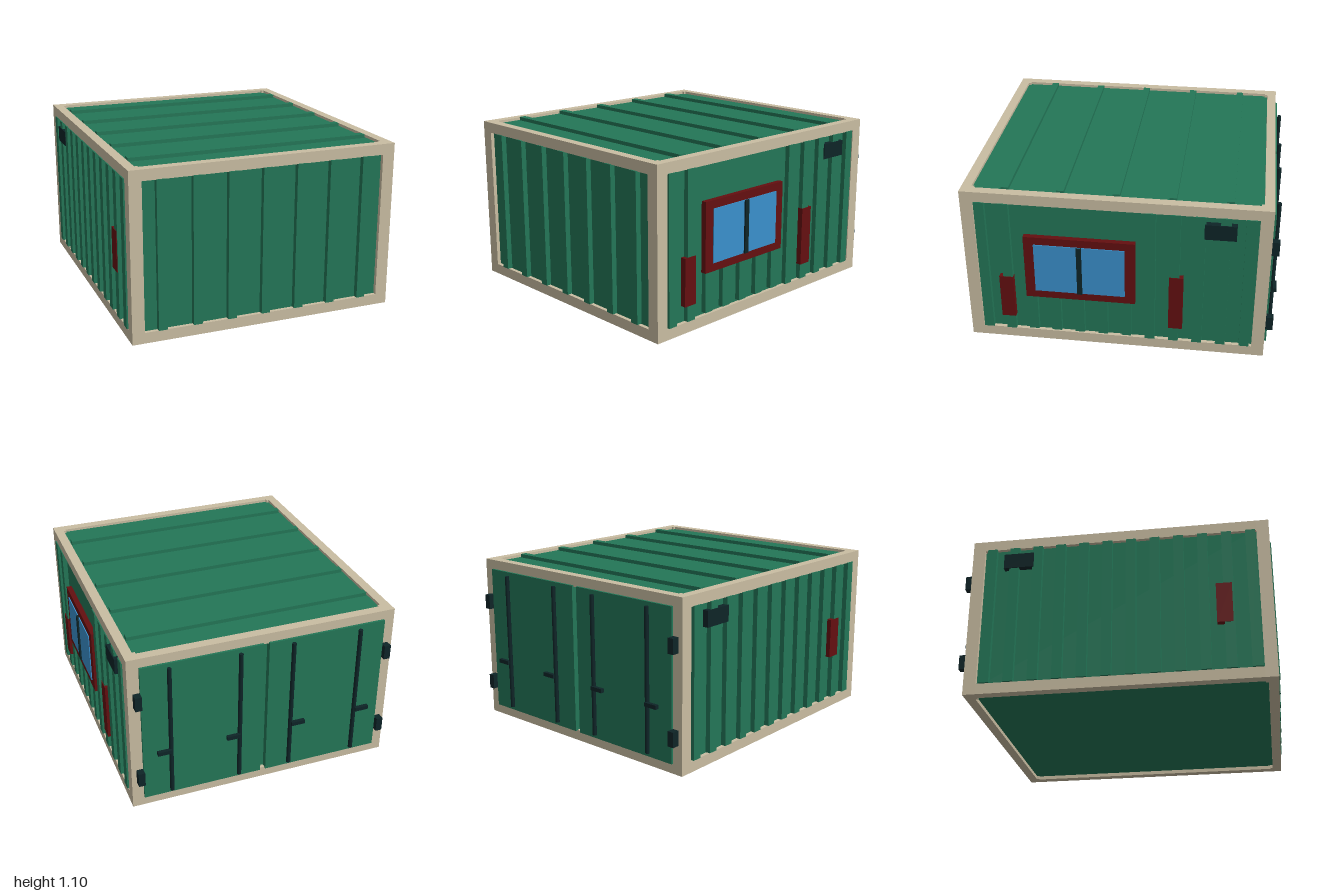
import * as THREE from 'three';

const paint = (name, color) => {
  const m = new THREE.MeshStandardMaterial({ color });
  m.name = name;
  return m;
};

export function createModel() {
  const green = paint('green', 0x237657);
  const beige = paint('beige', 0xc9bda2);
  const red = paint('dark red', 0x640f10);
  const blue = paint('window blue', 0x3a90cc);
  const dark = paint('dark metal', 0x0e2427);

  const model = new THREE.Group();
  model.name = 'containerCabin';

  // Box given by its limits on each axis
  const block = (name, mat, x0, x1, y0, y1, z0, z1) => {
    const mesh = new THREE.Mesh(new THREE.BoxGeometry(x1 - x0, y1 - y0, z1 - z0), mat);
    mesh.position.set((x0 + x1) / 2, (y0 + y1) / 2, (z0 + z1) / 2);
    mesh.name = name;
    model.add(mesh);
    return mesh;
  };

  // Outer limits of the steel frame
  const L = -0.887, R = 0.869, B = -0.942, F = 0.99, H = 1.094;
  const post = 0.08, beam = 0.062, rail = 0.07, inset = 0.025;

  // Recessed wall, roof and floor body
  block('body', green, L + inset, R - inset, inset, H - 0.018, B + inset, F - inset);

  // Corner posts
  for (const x of [L, R - post])
    for (const z of [B, F - post])
      block('cornerPost', beige, x, x + post, 0, H, z, z + post);

  // Bottom and top rails
  for (const y of [0, H - rail]) {
    for (const x of [L, R - beam])
      block('sideRail', beige, x, x + beam, y, y + rail, B + post, F - post);
    for (const z of [B, F - beam])
      block('endRail', beige, L + post, R - post, y, y + rail, z, z + beam);
  }

  // Front wall ribs
  for (let i = 0; i < 7; i++) {
    const x = -0.692 + i * 0.227;
    block('frontRib', green, x - 0.029, x + 0.029, 0.073, 1.026, F - 0.03, 1.0);
  }

  // Side wall ribs, cut short on the left wall below the window
  for (let i = 0; i < 12; i++) {
    const z = 0.871 - i * 0.153;
    const underWindow = i >= 2 && i <= 6;
    block('leftRib', green, R - 0.03, R + 0.007,
      underWindow ? 0.085 : 0.073, underWindow ? 0.36 : 1.026, z - 0.032, z + 0.032);
    block('rightRib', green, L - 0.008, L + 0.03, 0.073, 1.026, z - 0.032, z + 0.032);
  }

  // Roof ribs
  for (let i = 0; i < 5; i++) {
    const z = -0.677 + i * 0.349;
    block('roofRib', green, -0.815, 0.795, H - 0.03, H + 0.006, z - 0.023, z + 0.023);
  }

  // Window with frame, pane and mullion
  block('windowFrame', red, R - 0.03, 0.88, 0.346, 0.80, -0.105, 0.603);
  block('windowPane', blue, 0.878, 0.886, 0.40, 0.748, -0.04, 0.539);
  block('windowMullion', dark, 0.878, 0.897, 0.40, 0.748, 0.233, 0.265);

  // Red side panels and dark vents
  block('lowPanel', red, R - 0.03, 0.88, 0.175, 0.485, 0.684, 0.775);
  block('tallPanel', red, R - 0.03, 0.88, 0.175, 0.57, -0.41, -0.32);
  block('rightPanel', red, L - 0.012, L + 0.03, 0.38, 0.65, 0.64, 0.74);
  block('leftVent', dark, R - 0.03, 0.883, 0.875, 0.978, -0.727, -0.53);
  block('rightVent', dark, -0.9, L + 0.03, 0.875, 0.978, -0.727, -0.53);

  // Double doors at the back with hinges, locking bars and handles, mirrored
  const mid = -0.011;
  for (const s of [-1, 1]) {
    const span = (name, mat, a, b, y0, y1, z0, z1) =>
      block(name, mat, mid + Math.min(s * a, s * b), mid + Math.max(s * a, s * b), y0, y1, z0, z1);

    span('door', green, 0.018, 0.805, 0.065, 1.033, -0.957, B + inset);

    for (const y of [0.19, 0.76])
      span('hinge', dark, 0.805, 0.848, y, y + 0.096, -0.99, B + 0.004);

    for (const x of [0.174, 0.628]) {
      const bar = new THREE.Mesh(new THREE.CylinderGeometry(0.014, 0.014, 0.915, 12), dark);
      bar.position.set(mid + s * x, 0.552, -0.974);
      bar.name = 'lockingBar';
      model.add(bar);
      span('handle', dark, x, x + 0.092, 0.4, 0.426, -1.0, -0.976);
    }
  }

  return model;
}
